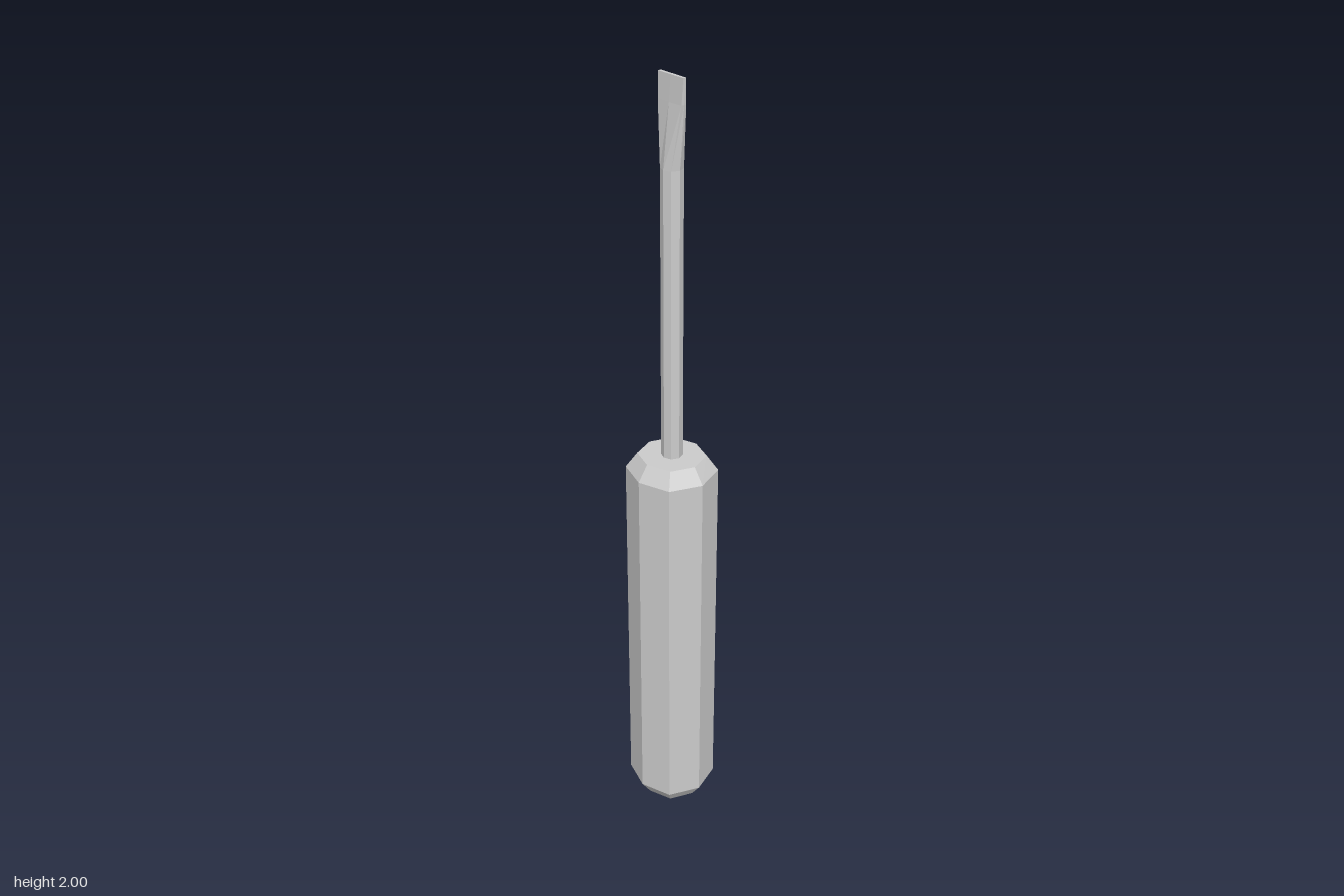
import * as THREE from 'three';

// Eight-sided ring: ax / az are the points on the axes, dx / dz the diagonal corners.
function ring([y, ax, az, dx, dz]) {
  return [[ax, 0], [dx, dz], [0, az], [-dx, dz], [-ax, 0], [-dx, -dz], [0, -az], [dx, -dz]]
    .map(([x, z]) => new THREE.Vector3(x, y, z));
}

// Joins rings from bottom to top into a closed, faceted solid.
function loft(name, sections, material) {
  const rings = sections.map(ring);
  const points = [];
  const last = rings.length - 1;
  const bottom = new THREE.Vector3(0, sections[0][0], 0);
  const top = new THREE.Vector3(0, sections[last][0], 0);
  for (let i = 0; i < 8; i++) {
    const j = (i + 1) % 8;
    for (let k = 0; k < last; k++) {
      const lo = rings[k], hi = rings[k + 1];
      points.push(lo[i], hi[i], lo[j], lo[j], hi[i], hi[j]);
    }
    points.push(bottom, rings[0][i], rings[0][j]);
    points.push(top, rings[last][j], rings[last][i]);
  }
  const geometry = new THREE.BufferGeometry().setFromPoints(points);
  geometry.computeVertexNormals();
  const mesh = new THREE.Mesh(geometry, material);
  mesh.name = name;
  return mesh;
}

export function createModel() {
  const group = new THREE.Group();
  group.name = 'screwdriver';
  const material = new THREE.MeshStandardMaterial({ color: 0xcccccc, flatShading: true });

  // Octagonal grip with a bevel at both ends
  const wide = [0.114, 0.108, 0.082, 0.081];
  const narrow = [0.085, 0.081, 0.062, 0.06];
  group.add(loft('handle', [
    [0, ...narrow],
    [0.04, ...wide],
    [1.015, ...wide],
    [1.055, ...narrow],
  ], material));

  // Round shaft that flares and flattens into the blade
  group.add(loft('shaftAndBlade', [
    [1.04, 0.027, 0.026, 0.019, 0.019],
    [1.79, 0.027, 0.026, 0.019, 0.019],
    [1.94, 0.04, 0.009, 0.039, 0.007],
    [2, 0.041, 0.004, 0.041, 0.004],
  ], material));

  return group;
}
